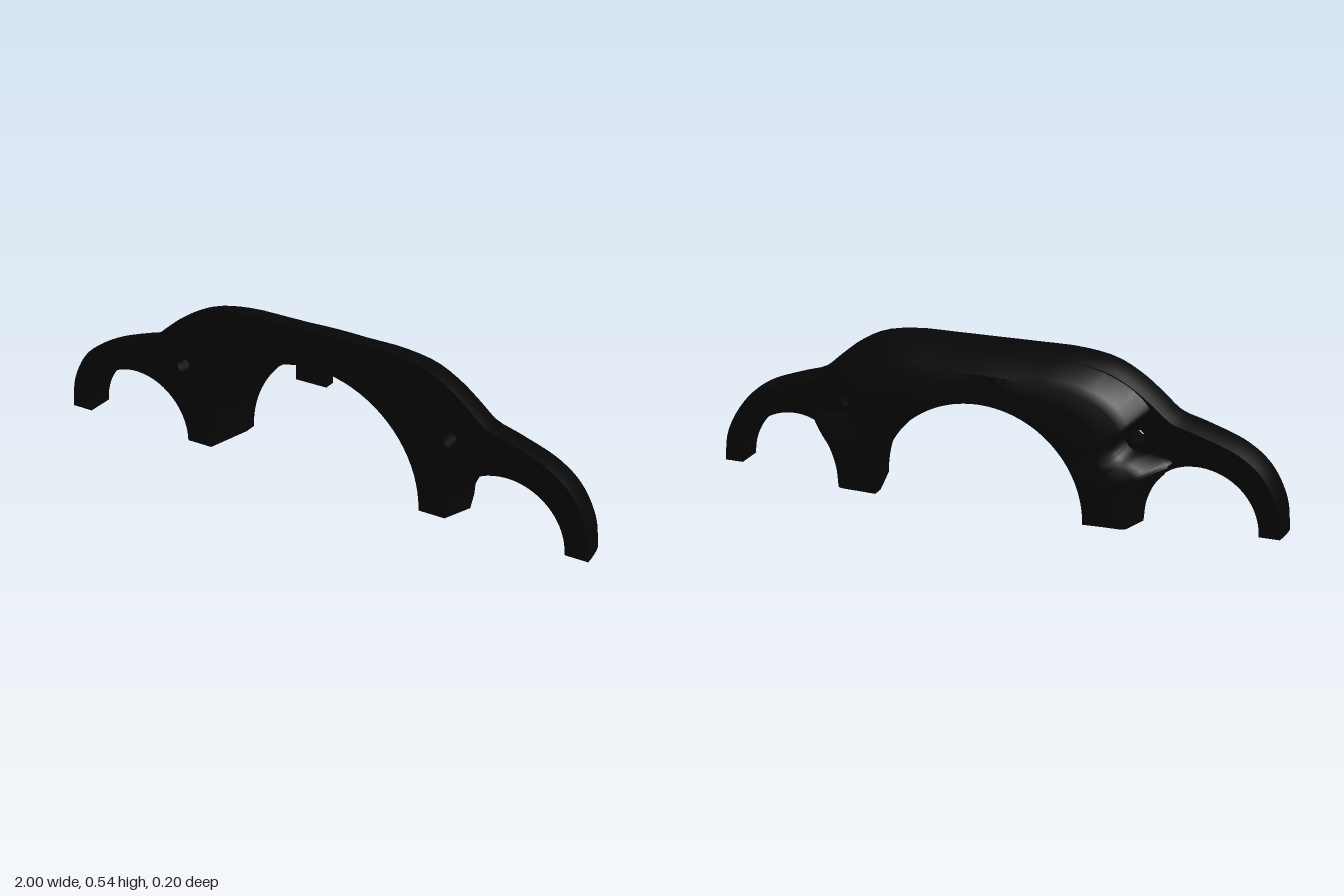
import * as THREE from 'three';
import { toCreasedNormals } from 'three/addons/utils/BufferGeometryUtils.js';

const mirrored = (pts) => [...pts, ...pts.slice(0, -1).reverse().map(([x, ...r]) => [-x, ...r])];

// Left half of the plate's crest; its first 4 of 11 spans lie over the wing
const crest = new THREE.CatmullRomCurve3([[1, 0], [0.985, 0.11], [0.93, 0.215], [0.85, 0.28], [0.71, 0.334],
  [0.63, 0.36], [0.57, 0.41], [0.5, 0.465], [0.41, 0.512], [0.29, 0.533], [0.15, 0.535], [0, 0.535]]
  .map(([x, y]) => new THREE.Vector3(x, y, 0)));
const WING = 4 / 11;

// Toward the back (t from 0 to 1) the crest rounds over
const roundCrest = (x, y, t) => [x * (1 - 0.012 * t * t), y * (1 - 0.045 * t * t)];

// Closed solid through a row of equal rings of points
function loft(rings) {
  const m = rings[0].length, n = rings.length, index = [];
  for (let i = 0; i < n - 1; i++) {
    for (let j = 0; j < m; j++) {
      const a = i * m + j, b = i * m + (j + 1) % m;
      index.push(a, a + m, b, b, a + m, b + m);
    }
  }
  const e = (n - 1) * m;
  for (let j = 1; j < m - 1; j++) index.push(0, j, j + 1, e, e + j + 1, e + j);
  const geo = new THREE.BufferGeometry();
  geo.setAttribute('position', new THREE.Float32BufferAttribute(rings.flat(2), 3));
  geo.setIndex(index);
  return toCreasedNormals(geo, 0.7);
}

// Outer half of a side arch
function wingGeometry() {
  const rings = [], n = 24;
  for (let i = 0; i <= n; i++) {
    const a = (Math.PI / 2) * (i / n), x = 0.71 + 0.21 * Math.cos(a), y = 0.21 * Math.sin(a);
    const c = crest.getPoint((i / n) * WING);
    const outer = [1, 0.75, 0.5, 0.25, 0].map((t) => [...roundCrest(c.x, c.y, t), 0.1 * (1 - t)]);
    rings.push([[x, y, 0.1], [x, y, 0], ...outer]);
  }
  return loft(rings);
}

// Half of the plate's middle: half the bore, the inner half of a side arch, a screw hole
function halfPlateGeometry() {
  const pts = [];
  for (let i = 0; i <= 20; i++) {
    const c = crest.getPoint(WING + (1 - WING) * (i / 20));
    pts.push(new THREE.Vector2(c.x, c.y));
  }
  const arch = (cx, r, n, from, to) => {
    for (let i = 0; i <= n; i++) {
      const a = from + ((to - from) * i) / n;
      pts.push(new THREE.Vector2(cx + r * Math.cos(a), r * Math.sin(a)));
    }
  };
  arch(0, 0.405, 20, Math.PI / 2, 0);
  arch(0.71, 0.21, 14, Math.PI, Math.PI / 2);
  const shape = new THREE.Shape(pts);
  shape.holes.push(new THREE.Path().absarc(0.51, 0.285, 0.027, 0, Math.PI * 2, true));
  const geo = new THREE.ExtrudeGeometry(shape, { depth: 0.1, steps: 4, bevelEnabled: false, curveSegments: 6 });
  // Toward the back the arches narrow beside the leg
  const p = geo.attributes.position;
  for (let i = 0; i < p.count; i++) {
    const x = p.getX(i), y = p.getY(i), t = 1 - p.getZ(i) / 0.1;
    if (Math.hypot(x, y) < 0.41) {
      const k = 1 - 0.062 * t;
      p.setXY(i, x * k, y * k);
    } else if (Math.hypot(x - 0.71, y) < 0.215) {
      const side = Math.max(0, (0.71 - x) / 0.21);
      p.setX(i, x + 0.04 * t * side * side);
    } else if (Math.hypot(x - 0.51, y - 0.285) > 0.04) {
      // The seam with the wing keeps to the same rule
      p.setXY(i, ...roundCrest(x, y, t));
    }
  }
  return toCreasedNormals(geo, 0.6);
}

// Rear arch: sections swept round the bore, hollowed beside each screw hole
function rearGeometry() {
  // x, y of the outer edge and how steep the back slope is
  const rim = mirrored([[0.54, 0, 0.78], [0.548, 0.07, 0.8], [0.572, 0.13, 0.79], [0.61, 0.178, 0.76],
    [0.63, 0.212, 0.74], [0.56, 0.233, 0.8], [0.49, 0.245, 0.88], [0.47, 0.28, 0.9], [0.488, 0.332, 0.88],
    [0.55, 0.378, 0.8], [0.5, 0.435, 0.82], [0.4, 0.486, 0.82], [0.29, 0.508, 0.79], [0.15, 0.51, 0.76], [0, 0.51, 0.76]]);
  const stations = new THREE.CatmullRomCurve3(rim.map((v) => new THREE.Vector3(...v))).getPoints(140);
  const inner = 0.365;
  return loft(stations.map(({ x, y, z: k }) => {
    const r = Math.hypot(x, y), w = r - inner;
    // The outer edge is deep at the foot and runs out to nothing up the side arch
    const run = Math.max(0.001, 1 - (y / 0.25) ** 2), edge = -0.085 * run;
    const depth = (f) => edge + (-0.1 - edge) * f;
    const section = [[0.38, 0], [inner, -0.06], [inner, -0.104], [inner + w * k * k * 0.66, -0.1],
      [inner + w * k * 0.87, depth(0.9)], [inner + w * k, depth(0.7)], [r - 0.03 * run, edge], [r, 0]];
    return section.map(([d, z]) => [(x / r) * d, (y / r) * d, z]);
  }));
}

export function createModel() {
  const group = new THREE.Group();
  group.name = 'tripleArchBracket';
  const black = new THREE.MeshStandardMaterial({ color: 0x060606 });
  black.name = 'black';
  const add = (name, geo) => {
    const mesh = new THREE.Mesh(geo, black);
    mesh.name = name;
    group.add(mesh);
    return mesh;
  };
  const half = halfPlateGeometry(), wing = wingGeometry();
  for (const [side, s] of [['left', 1], ['right', -1]]) {
    add(side + 'FrontPlate', half).scale.x = s;
    add(side + 'Wing', wing).scale.x = s;
  }
  add('rearArch', rearGeometry());
  // Small locating tab at the top of the middle arch
  add('locatingTab', new THREE.BoxGeometry(0.115, 0.07, 0.04)).position.set(0, 0.385, 0.08);
  return group;
}
